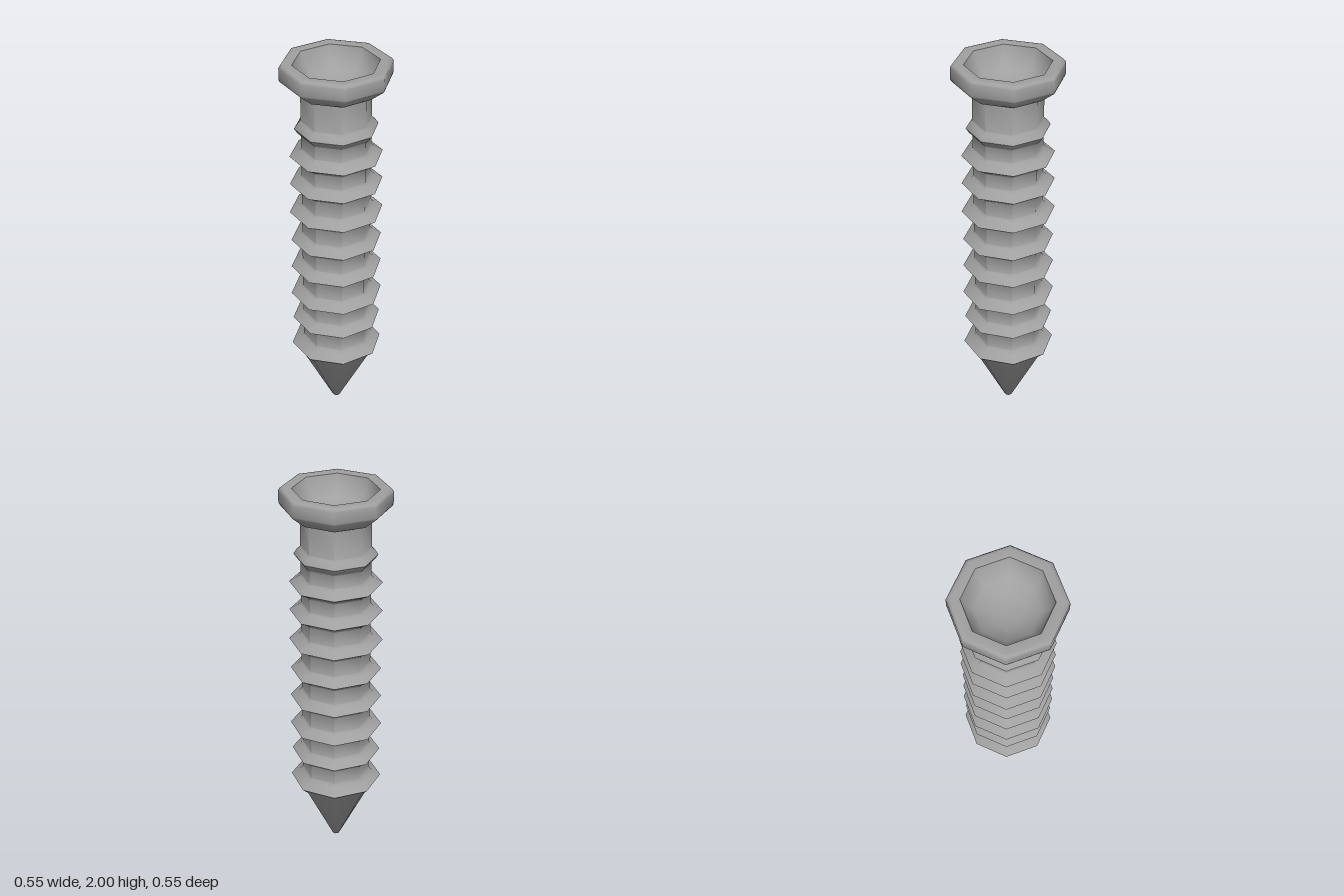
import * as THREE from 'three';
import { toCreasedNormals } from 'three/addons/utils/BufferGeometryUtils.js';

const SIDES = 8;
const SHAFT = 0.174;

// eight-sided turned part from [radius, height] pairs, smooth around, sharp at strong bends
function turned(name, profile, material) {
  const points = profile.map(([r, y]) => new THREE.Vector2(r, y));
  const geometry = toCreasedNormals(new THREE.LatheGeometry(points, SIDES), 0.87);
  const mesh = new THREE.Mesh(geometry, material);
  mesh.name = name;
  return mesh;
}

export function createModel() {
  const metal = new THREE.MeshStandardMaterial({ color: 0xa0a0a0 });
  metal.name = 'grey metal';
  const screw = new THREE.Group();
  screw.name = 'screw';

  // blunt point, running up to the edge of the lowest ridge
  screw.add(turned('tip', [
    [0, 0], [0.02, 0.01], [0.2, 0.355], [0.235, 0.387],
  ], metal));

  // threaded shaft: [ridge height, ridge radius]
  const ridges = [
    [0.55, 0.228], [0.705, 0.235], [0.87, 0.232], [1.03, 0.23],
    [1.195, 0.235], [1.357, 0.232], [1.51, 0.231], [1.66, 0.207],
  ];
  const shaft = [[0.235, 0.387], [0.19, 0.415], [SHAFT, 0.435]];
  for (const [y, r] of ridges) {
    shaft.push([SHAFT, y - 0.04], [0.19, y - 0.025], [r, y], [0.19, y + 0.025], [SHAFT, y + 0.04]);
  }
  shaft.push([SHAFT, 1.85]);
  screw.add(turned('threadedShaft', shaft, metal));

  // flared head with a hollow bowl
  screw.add(turned('head', [
    [SHAFT, 1.845], [0.2, 1.856], [0.272, 1.915], [0.275, 1.925], [0.275, 1.985], [0.267, 1.997],
    [0.255, 2], [0.212, 1.995],
  ], metal));
  screw.add(turned('bowl', [
    [0.212, 1.995], [0.195, 1.94], [0.155, 1.895], [0.085, 1.865], [0, 1.855],
  ].map(([r, y]) => [r, y]), metal));

  return screw;
}
